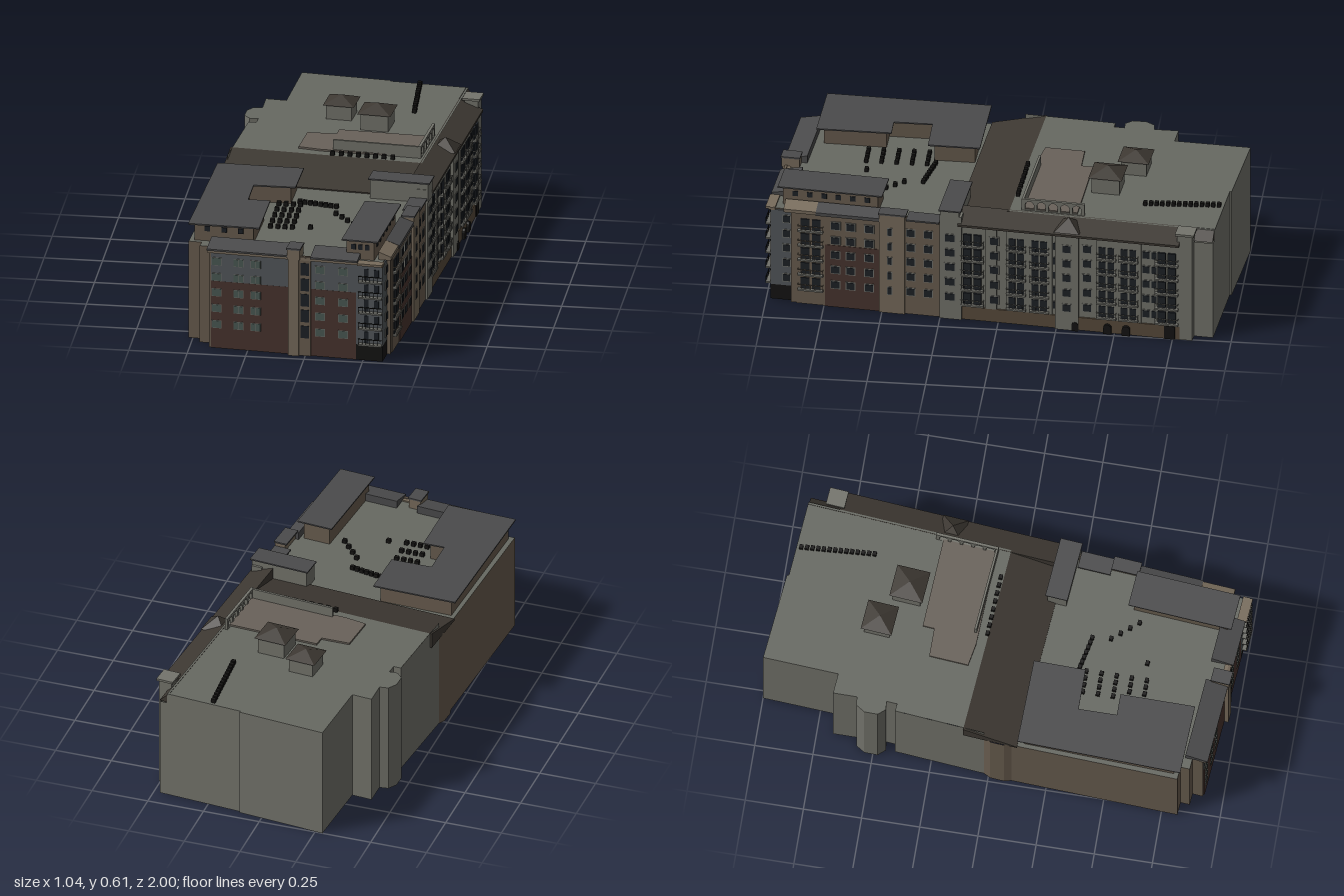
import * as THREE from 'three';

const C = {
  tan: 0x6a5e50, lightTan: 0x786c5c, brick: 0x49352f, slate: 0x54595c, grey: 0x74746c, flatRoof: 0x676962, court: 0x69625a,
  darkRoof: 0x3d3832, metal: 0x4b4b4c, glass: 0x1d2126, paleGlass: 0x4b5a55, frame: 0x70706a, black: 0x151413, base: 0x5a4c3c,
};
const mats = {};
const mat = (k) => (mats[k] ??= new THREE.MeshStandardMaterial({ color: C[k], side: THREE.DoubleSide, flatShading: true }));
const ANGLE = -0.085; // the block stands slightly turned
const FLOORS = [0.109, 0.182, 0.254, 0.324, 0.395];

export function createModel() {
  const root = new THREE.Group();
  root.name = 'apartmentBlock';
  const block = new THREE.Group();
  block.name = 'building';
  block.rotation.y = ANGLE;
  root.add(block);

  const add = (name, geo, col) => {
    const m = new THREE.Mesh(geo, mat(col));
    m.name = name;
    block.add(m);
    return m;
  };
  const box = (name, x0, x1, y0, y1, z0, z1, col) =>
    add(name, new THREE.BoxGeometry(x1 - x0, y1 - y0, z1 - z0), col)
      .position.set((x0 + x1) / 2, (y0 + y1) / 2, (z0 + z1) / 2);
  const plan = (pts) => new THREE.Shape(pts.map(([x, z]) => new THREE.Vector2(x, -z)));
  const flat = (name, pts, y, col) =>
    add(name, new THREE.ShapeGeometry(plan(pts)).rotateX(-Math.PI / 2).translate(0, y, 0), col);
  const slab = (name, pts, y0, y1, col) =>
    add(name, new THREE.ExtrudeGeometry(plan(pts), { depth: y1 - y0, bevelEnabled: false })
      .rotateX(-Math.PI / 2).translate(0, y0, 0), col);
  // open upright walls along a plan outline
  const walls = (name, pts, y1, col) => {
    const p = [];
    pts.slice(0, -1).forEach(([ax, az], i) => {
      const [bx, bz] = pts[i + 1];
      p.push(ax, 0, az, bx, 0, bz, bx, y1, bz, ax, 0, az, bx, y1, bz, ax, y1, az);
    });
    const g = new THREE.BufferGeometry();
    g.setAttribute('position', new THREE.Float32BufferAttribute(p, 3));
    g.computeVertexNormals();
    add(name, g, col);
  };
  // cross-section [x, y] run along z
  const prismZ = (name, pts, z0, z1, col) =>
    add(name, new THREE.ExtrudeGeometry(new THREE.Shape(pts.map((p) => new THREE.Vector2(...p))),
      { depth: z1 - z0, bevelEnabled: false }).translate(0, 0, z0), col);
  // cross-section [z, y] run along x
  const prismX = (name, pts, x0, x1, col) =>
    add(name, new THREE.ExtrudeGeometry(new THREE.Shape(pts.map(([z, y]) => new THREE.Vector2(-z, y))),
      { depth: x1 - x0, bevelEnabled: false }).rotateY(Math.PI / 2).translate(x0, 0, 0), col);
  const pyramid = (name, x, z, half, y0, y1, col) =>
    add(name, new THREE.ConeGeometry(half * Math.SQRT2, y1 - y0, 4).rotateY(Math.PI / 4), col)
      .position.set(x, (y0 + y1) / 2, z);

  // main shells, open underneath, with a cross wall between them
  const front = [[0.43, 0.13], [0.43, 0.86], [0.41, 0.86], [0.41, 0.945], [-0.34, 0.945], [-0.34, 0.9], [-0.39, 0.9],
    [-0.39, 0.86], [-0.447, 0.86], [-0.47, 0.14]];
  const rear = [[-0.47, 0.14], [-0.48, 0.11], [-0.48, 0.05], [-0.467, 0.02], [-0.464, -0.37], [-0.431, -0.37], [-0.431, -0.415],
    [-0.468, -0.41], [-0.497, -0.438], [-0.5, -0.496], [-0.479, -0.535], [-0.442, -0.543], [-0.45, -0.645], [-0.361, -0.645],
    [-0.367, -0.972], [0.02, -0.965], [0.02, -0.957], [0.36, -0.957]];
  walls('frontWalls', front, 0.44, 'tan');
  walls('crossWall', [[-0.47, 0.14], [0.43, 0.13]], 0.44, 'tan');
  flat('frontRoofTerrace', front, 0.44, 'flatRoof');
  walls('rearLowBay', rear.slice(0, 4), 0.445, 'tan');
  walls('rearWalls', rear.slice(3), 0.505, 'grey');
  walls('rearCornerWalls', [[0.36, -0.957], [0.393, -0.957], [0.393, -0.82], [0.43, -0.82], [0.43, 0.13]], 0.46, 'grey');
  flat('rearRoof', [...rear.slice(4), [0.36, -0.07], [-0.466, -0.07]], 0.505, 'flatRoof');

  // pitched dark roofs: cross slope between the levels and eaves along the right
  prismX('crossRoof', [[-0.07, 0.505], [0.165, 0.445], [0.165, 0.435], [-0.07, 0.435]], -0.475, 0.36, 'darkRoof');
  prismZ('rightEaves', [[0.35, 0.506], [0.455, 0.468], [0.455, 0.458], [0.35, 0.458]], -0.82, 0.136, 'darkRoof');
  prismZ('cornerEaves', [[0.35, 0.506], [0.395, 0.465], [0.35, 0.458]], -0.955, -0.82, 'darkRoof');
  box('cornerTower', 0.375, 0.435, 0, 0.507, -0.875, -0.81, 'grey');
  box('cornerTowerCap', 0.367, 0.443, 0.507, 0.517, -0.883, -0.802, 'grey');
  box('dormerWall', 0.36, 0.446, 0, 0.475, -0.385, -0.285, 'grey');
  pyramid('dormerRoof', 0.4, -0.335, 0.055, 0.475, 0.525, 'darkRoof');

  // roof pavilions
  [[-0.095, -0.53, 0.055, 0.57, 0.6], [0.08, -0.443, 0.06, 0.58, 0.612]].forEach(([x, z, h, y, top]) => {
    box('pavilionWalls', x - h, x + h, 0.505, y, z - h, z + h, 'grey');
    pyramid('pavilionRoof', x, z, h + 0.012, y, top, 'darkRoof');
  });

  // roof court with a screen wall in front and an arcade on the right
  slab('courtFloor', [[-0.065, -0.35], [0.335, -0.36], [0.335, -0.125], [-0.09, -0.11], [-0.19, -0.12], [-0.19, -0.29], [-0.065, -0.3]],
    0.505, 0.513, 'court');
  box('courtFrontWall', -0.04, 0.342, 0.505, 0.557, -0.13, -0.12, 'grey');
  const arcade = new THREE.Shape([[0.12, 0.505], [0.392, 0.505], [0.392, 0.559], [0.12, 0.559]].map((p) => new THREE.Vector2(...p)));
  for (let i = 0; i < 5; i++) {
    const c = 0.154 + i * 0.051, h = new THREE.Path();
    h.moveTo(c - 0.019, 0.508).lineTo(c + 0.019, 0.508).lineTo(c + 0.019, 0.53);
    h.absarc(c, 0.53, 0.019, 0, Math.PI).lineTo(c - 0.019, 0.508);
    arcade.holes.push(h);
  }
  add('arcade', new THREE.ExtrudeGeometry(arcade, { depth: 0.012, bevelEnabled: false, curveSegments: 6 })
    .rotateY(Math.PI / 2).translate(0.33, 0, 0), 'grey');

  // penthouses on the front terrace
  const leftRoof = [[-0.477, 0.168], [-0.107, 0.147], [-0.093, 0.369], [-0.272, 0.384], [-0.258, 0.548], [-0.164, 0.54],
    [-0.14, 0.86], [-0.446, 0.872]];
  const leftWall = [[-0.45, 0.19], [-0.13, 0.172], [-0.118, 0.345], [-0.296, 0.36], [-0.282, 0.572], [-0.187, 0.565],
    [-0.172, 0.834], [-0.426, 0.84]];
  slab('leftPenthouseWalls', leftWall, 0.44, 0.52, 'tan');
  slab('leftPenthouseRoof', leftRoof, 0.52, 0.526, 'metal');
  [-0.37, -0.297, -0.225].forEach((x) => box('penthouseWindow', x - 0.011, x + 0.011, 0.485, 0.507, 0.82, 0.843, 'glass'));
  box('rightPenthouseWalls', 0.25, 0.37, 0.44, 0.527, 0.495, 0.905, 'tan');
  box('rightPenthouseRoof', 0.232, 0.39, 0.527, 0.533, 0.474, 0.925, 'metal');
  [0.28, 0.31, 0.34].forEach((x) => box('penthouseWindow', x - 0.01, x + 0.01, 0.485, 0.508, 0.9, 0.908, 'glass'));
  for (let i = 0; i < 6; i++) box('penthouseWindow', 0.366, 0.373, 0.485, 0.508, 0.53 + i * 0.062, 0.553 + i * 0.062, 'glass');
  box('stairHead', 0.195, 0.448, 0.44, 0.525, 0.13, 0.212, 'grey');
  box('stairHeadRoof', 0.188, 0.455, 0.525, 0.531, 0.122, 0.218, 'metal');

  // shed roofs along the front edge and right edge
  [[-0.345, 0.01], [0.105, 0.31]].forEach(([a, b]) =>
    prismX('frontShedRoof', [[0.87, 0.475], [0.967, 0.455], [0.967, 0.447], [0.87, 0.44]], a, b, 'metal'));
  prismZ('rightShedRoof', [[0.385, 0.475], [0.445, 0.455], [0.445, 0.44], [0.385, 0.44]], 0.475, 0.75, 'metal');
  prismZ('rightShedRoofEnd', [[0.385, 0.475], [0.44, 0.455], [0.44, 0.44], [0.385, 0.44]], 0.75, 0.89, 'lightTan');
  box('rightPierCap', 0.39, 0.449, 0.475, 0.482, 0.36, 0.48, 'metal');
  box('rightParapetCap', 0.37, 0.445, 0.455, 0.462, 0.218, 0.36, 'metal');

  // dark roof seats and planters, placed in unturned coordinates
  const seat = (x, z, y) => {
    const p = new THREE.Vector3(x, 0, z).applyAxisAngle(new THREE.Vector3(0, 1, 0), -ANGLE);
    box('roofSeat', p.x - 0.009, p.x + 0.009, y, y + 0.018, p.z - 0.008, p.z + 0.008, 'black');
  };
  for (let r = 0; r < 5; r++) for (let i = 0; i < 4; i++) seat(-0.195 + i * 0.031, 0.36 + r * 0.065, 0.44);
  for (let i = 0; i < 8; i++) seat(-0.11 + i * 0.023, 0.325 + i * 0.005, 0.44);
  for (let i = 0; i < 4; i++) seat(0.06 + i * 0.03, 0.44 + i * 0.036, 0.44);
  seat(-0.025, 0.61, 0.44);
  for (let i = 0; i < 14; i++) seat(0.232 + i * 0.0015, -0.92 + i * 0.024, 0.505);
  for (let i = 0; i < 8; i++) seat(-0.025 + i * 0.037, -0.077 + i * 0.002, 0.507);

  // front face cladding
  [[-0.33, 0.01], [0.105, 0.3]].forEach(([a, b]) => {
    box('frontBrick', a, b, 0, 0.305, 0.9455, 0.95, 'brick');
    box('frontUpperCladding', a, b, 0.305, 0.435, 0.9455, 0.9495, 'slate');
  });
  // front right corner: dark base with cladding above, on both faces
  [[0, 0.07, 'black'], [0.07, 0.435, 'slate']].forEach(([y0, y1, c]) => {
    box('cornerFront', 0.3, 0.415, y0, y1, 0.9455, 0.95, c);
    box('cornerSide', 0.4105, 0.416, y0, y1, 0.86, 0.95, c);
  });
  box('frontPier', 0.01, 0.055, 0, 0.485, 0.946, 0.968, 'lightTan');
  box('frontPierHead', 0.005, 0.06, 0.44, 0.484, 0.895, 0.972, 'lightTan');
  box('frontPierCap', 0.002, 0.063, 0.484, 0.491, 0.892, 0.975, 'metal');
  box('frontPierSide', 0.055, 0.105, 0, 0.45, 0.946, 0.957, 'tan');
  box('frontCornice', -0.345, 0.42, 0.434, 0.446, 0.93, 0.958, 'lightTan');
  box('cornerBalconyCanopy', 0.31, 0.418, 0.437, 0.447, 0.93, 0.972, 'lightTan');
  FLOORS.forEach((y) => {
    box('stairWindow', 0.062, 0.098, y - 0.028, y + 0.028, 0.95, 0.959, 'glass');
    [-0.305, -0.21, -0.135, 0.145, 0.245].forEach((x) => {
      box('frontWindowFrame', x - 0.022, x + 0.022, y - 0.018, y + 0.018, 0.946, 0.9515, 'frame');
      [-0.0105, 0.0105].forEach((d) => box('frontWindowPane', x + d - 0.0095, x + d + 0.0095, y - 0.016, y + 0.016, 0.948, 0.953, 'paleGlass'));
    });
    // corner balconies on the front
    box('cornerDoor', 0.335, 0.355, y - 0.03, y + 0.022, 0.946, 0.952, 'glass');
    box('cornerDoor', 0.38, 0.4, y - 0.012, y + 0.02, 0.946, 0.952, 'glass');
    box('cornerBalconySlab', 0.315, 0.415, y - 0.037, y - 0.03, 0.946, 0.972, 'frame');
    box('cornerBalconyRail', 0.315, 0.415, y - 0.008, y - 0.005, 0.969, 0.972, 'black');
    for (let i = 0; i < 7; i++) box('cornerBaluster', 0.315 + i * 0.0164, 0.3165 + i * 0.0164, y - 0.03, y - 0.005, 0.97, 0.9715, 'black');
  });

  // right facade cladding: z range, y range, outer x, colour
  [[0.71, 0.835, 0, 0.44, 0.434, 'tan'], [0.475, 0.71, 0, 0.3, 0.438, 'brick'], [0.475, 0.71, 0.3, 0.44, 0.436, 'tan'],
    [0.365, 0.475, 0, 0.475, 0.445, 'lightTan'], [0.215, 0.365, 0, 0.455, 0.437, 'tan'], [0.12, 0.215, 0, 0.5, 0.446, 'grey'],
    [-0.82, 0.12, 0, 0.062, 0.437, 'base'], [-0.03, 0.02, 0.062, 0.46, 0.438, 'grey'], [-0.27, -0.07, 0.062, 0.46, 0.436, 'grey'],
    [-0.655, -0.46, 0.062, 0.46, 0.436, 'grey'], [-0.8, -0.755, 0, 0.062, 0.44, 'black'],
  ].forEach(([z0, z1, y0, y1, x, c]) => {
    box('rightCladding', 0.4305, x, y0, y1, z0, z1, c);
    if (y1 > 0.44) box('rightParapet', 0.4, x - 0.0005, 0.441, y1, z0, z1, c);
  });
  [[-0.37, 0.018], [-0.51, 0.022], [-0.59, 0.022]].forEach(([z, r]) => {
    box('archedDoor', 0.4305, 0.449, 0, 0.028, z - r * 0.8, z + r * 0.8, 'black');
    add('archedDoorTop', new THREE.CylinderGeometry(r * 0.8, r * 0.8, 0.018, 12).rotateZ(Math.PI / 2), 'black')
      .position.set(0.44, 0.028, z);
  });

  // right facade windows: z centre, width, wall x
  const windows = [[0.88, 0.03, 0.416], [0.665, 0.036, 0.438], [0.6, 0.036, 0.438], [0.52, 0.036, 0.438], [0.43, 0.016, 0.445],
    [0.34, 0.034, 0.437], [0.265, 0.034, 0.437], [0.17, 0.04, 0.446], [-0.02, 0.036, 0.438], [-0.29, 0.034, 0.43],
    [-0.335, 0.034, 0.446], [-0.42, 0.036, 0.43], [-0.675, 0.03, 0.43], [-0.71, 0.022, 0.43]];
  // balconies: z centre, width, rail colour
  const balconies = [[0.773, 0.11, 'lightTan'], [0.075, 0.1, 'frame'], [-0.115, 0.085, 'frame'], [-0.215, 0.085, 'frame'],
    [-0.505, 0.085, 'frame'], [-0.6, 0.085, 'frame'], [-0.765, 0.1, 'frame']];
  FLOORS.forEach((y) => {
    windows.forEach(([z, w, x]) => {
      box('rightWindowFrame', x - 0.005, x + 0.002, y - 0.02, y + 0.02, z - w / 2 - 0.004, z + w / 2 + 0.004, 'frame');
      box('rightWindowPane', x - 0.005, x + 0.004, y - 0.016, y + 0.016, z - w / 2, z + w / 2, 'glass');
    });
    balconies.forEach(([z, w, rail]) => {
      const a = z - w / 2, b = z + w / 2;
      [-0.22, 0.22].forEach((d) => box('balconyDoor', 0.431, 0.439, y - 0.032, y + 0.02, z + d * w - w * 0.17, z + d * w + w * 0.17, 'glass'));
      box('balconySlab', 0.431, 0.45, y - 0.04, y - 0.032, a, b, 'frame');
      box('balconyRail', 0.447, 0.45, y - 0.012, y - 0.009, a, b, rail);
      for (let i = 0; i < 7; i++) {
        const t = a + (i * (w - 0.0015)) / 6;
        box('baluster', 0.448, 0.4495, y - 0.032, y - 0.009, t, t + 0.0015, rail);
      }
      [a, b - 0.002].forEach((t) => box('balconySideRail', 0.431, 0.45, y - 0.012, y - 0.009, t, t + 0.002, rail));
    });
  });
  return root;
}
